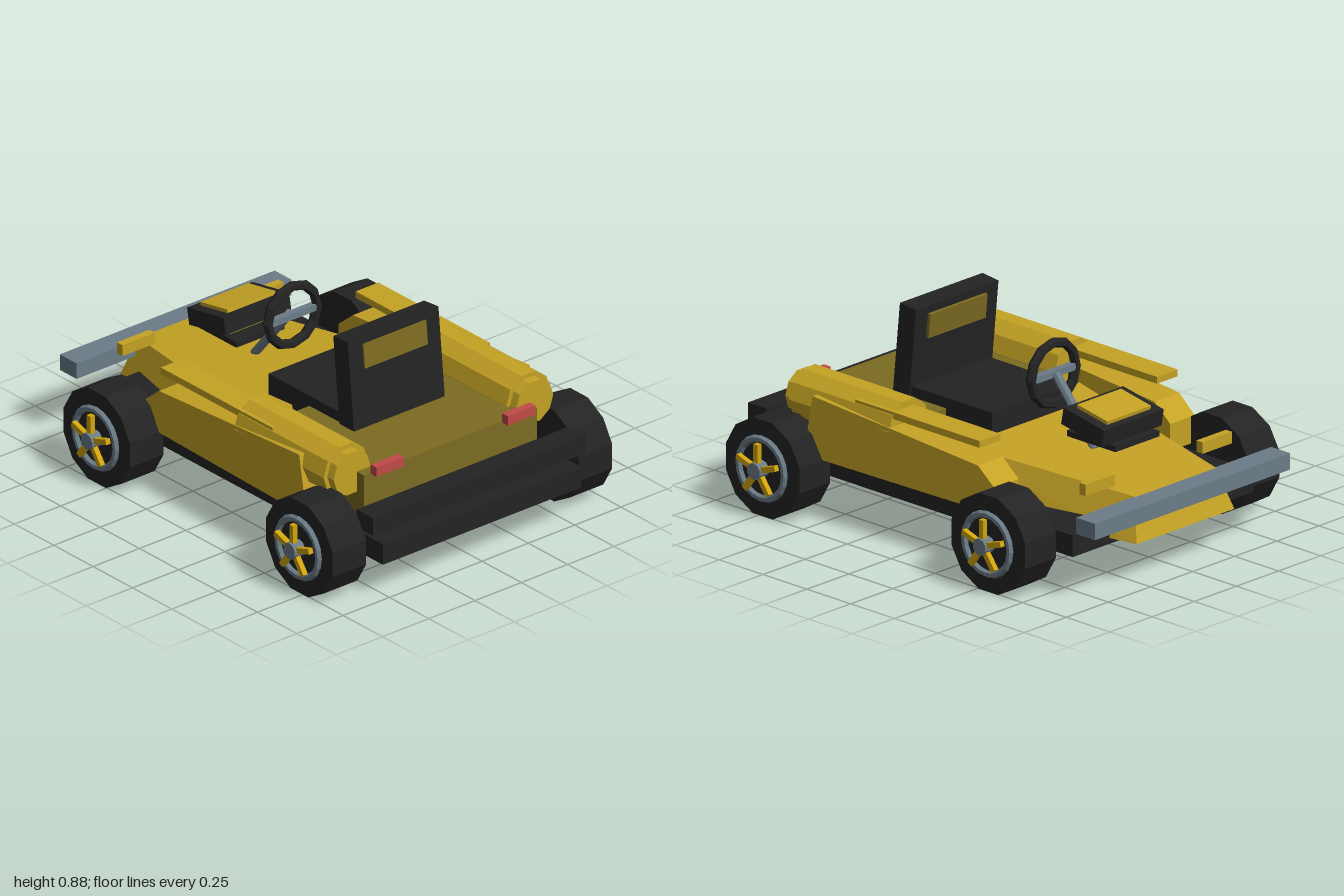
import * as THREE from 'three';
import { ConvexGeometry } from 'three/addons/geometries/ConvexGeometry.js';

const mat = (name, color) => Object.assign(new THREE.MeshStandardMaterial({ color, flatShading: true }), { name });

export function createModel() {
  const yellow = mat('yellow paint', 0xc4a224);
  const olive = mat('dark olive paint', 0x7c6b22);
  const black = mat('black', 0x232323);
  const steel = mat('blue grey steel', 0x6b7c87);
  const red = mat('tail light red', 0xc04b47);
  const gold = mat('spoke gold', 0xd0a40c);

  const kart = new THREE.Group();
  kart.name = 'kart';

  const add = (name, geometry, material, parent = kart) => {
    const mesh = new THREE.Mesh(geometry, material);
    mesh.name = name;
    parent.add(mesh);
    return mesh;
  };
  // Box given by its limits on each axis
  const box = (name, [x0, x1], [y0, y1], [z0, z1], material, parent) => {
    const mesh = add(name, new THREE.BoxGeometry(x1 - x0, y1 - y0, z1 - z0), material, parent);
    mesh.position.set((x0 + x1) / 2, (y0 + y1) / 2, (z0 + z1) / 2);
    return mesh;
  };
  // Cylinder lying along x
  const barX = (name, r, x0, x1, sides, material, parent) => {
    const g = new THREE.CylinderGeometry(r, r, x1 - x0, sides, 1, false, Math.PI / sides);
    g.rotateZ(-Math.PI / 2).translate((x0 + x1) / 2, 0, 0);
    return add(name, g, material, parent);
  };
  const hull = (name, points, material) =>
    add(name, new ConvexGeometry(points.map((p) => new THREE.Vector3(...p))), material);

  // Floor, bumpers and rear deck
  box('floorPan', [-0.535, 0.535], [0.165, 0.26], [-0.83, 1], black);
  box('rearBumper', [-0.575, 0.575], [0.305, 0.388], [0.88, 0.985], black);
  box('noseBumper', [-0.58, 0.58], [0.295, 0.367], [-1, -0.893], steel);
  box('rearDeck', [-0.468, 0.468], [0.285, 0.478], [0.18, 0.8], olive);

  // Tapered nose with sloping sides
  const nose = [];
  for (const s of [-1, 1]) {
    nose.push([s * 0.44, 0.44, 0.07], [s * 0.24, 0.37, -0.9]);
    nose.push([s * 0.52, 0.2, 0.125], [s * 0.29, 0.19, -0.96]);
  }
  hull('noseBody', nose, yellow);

  for (const s of [-1, 1]) {
    const side = s > 0 ? 'left' : 'right';
    const span = (a, b) => (s > 0 ? [a, b] : [-b, -a]);

    // Side panel: profile in z and y, widening slightly toward the rear
    const profile = [[0.62, 0.267], [0.57, 0.535], [-0.35, 0.46], [-0.44, 0.385], [-0.44, 0.267]];
    const panel = [];
    for (const [z, y] of profile) {
      const outer = 0.607 + z * 0.027;
      panel.push([s * 0.45, y, z], [s * outer, y, z]);
    }
    hull(side + 'SidePanel', panel, yellow);

    // Ten-sided pod with smaller rear cap
    const pod = (name, r, z0, z1) => {
      const g = new THREE.CylinderGeometry(r, r, z1 - z0, 10, 1, false, Math.PI / 10);
      g.rotateX(Math.PI / 2).translate(s * 0.493, 0.48, (z0 + z1) / 2);
      add(side + name, g, yellow);
    };
    pod('Pod', 0.12, 0.145, 0.715);
    pod('PodCap', 0.1, 0.7, 0.755);

    box(side + 'ArmRail', span(0.465, 0.588), [0.535, 0.565], [-0.35, 0.36], yellow);
    box(side + 'HeadLight', span(0.26, 0.435), [0.4, 0.45], [-0.808, -0.772], yellow);
    box(side + 'TailLight', span(0.28, 0.43), [0.472, 0.515], [0.798, 0.835], red);
  }

  // Seat with a backrest tipped slightly forward
  box('seatCushion', [-0.235, 0.235], [0.42, 0.525], [-0.08, 0.4], black);
  const back = new THREE.Group();
  back.name = 'seatBack';
  back.position.set(0, 0.665, 0.41);
  back.rotation.x = -0.1;
  kart.add(back);
  box('backrest', [-0.245, 0.245], [-0.21, 0.21], [-0.046, 0.046], black, back);
  box('backrestInsert', [-0.17, 0.17], [0.067, 0.175], [-0.06, 0.054], olive, back);

  // Steering wheel and column
  const wheelRim = add('steeringWheel', new THREE.TorusGeometry(0.133, 0.022, 6, 12), black);
  wheelRim.position.set(0, 0.67, -0.205);
  box('steeringSpoke', [-0.13, 0.13], [0.655, 0.685], [-0.22, -0.19], steel);
  const column = add('steeringColumn', new THREE.CylinderGeometry(0.02, 0.02, 0.35, 8), steel);
  column.position.set(0, 0.535, -0.333);
  column.rotation.x = Math.atan2(0.21, 0.255);

  // Tilted console on a flat plate
  box('consolePlate', [-0.13, 0.13], [0.48, 0.505], [-0.685, -0.408], black);
  const console3 = new THREE.Group();
  console3.name = 'console';
  console3.position.set(0, 0.565, -0.543);
  console3.rotation.x = -0.18;
  kart.add(console3);
  box('consoleCase', [-0.177, 0.177], [-0.038, 0.038], [-0.118, 0.118], black, console3);
  box('consoleInsert', [-0.13, 0.13], [-0.054, 0.054], [-0.087, 0.087], yellow, console3);

  // Axles and wheels
  for (const [end, z] of [['front', -0.56], ['rear', 0.728]]) {
    const axle = barX(end + 'Axle', 0.025, -0.78, 0.78, 8, steel);
    axle.position.set(0, 0.213, z);
    for (const s of [-1, 1]) {
      const wheel = new THREE.Group();
      wheel.name = end + (s > 0 ? 'Left' : 'Right') + 'Wheel';
      wheel.position.set(0, 0.213, z);
      wheel.rotation.y = s > 0 ? 0 : Math.PI;
      kart.add(wheel);
      barX('tyre', 0.218, 0.573, 0.755, 12, black, wheel);
      const ring = new THREE.TorusGeometry(0.13, 0.016, 6, 20);
      ring.rotateY(Math.PI / 2).translate(0.76, 0, 0);
      add('rimRing', ring, steel, wheel);
      barX('hub', 0.037, 0.75, 0.81, 10, steel, wheel);
      for (let i = 0; i < 5; i++) {
        const g = new THREE.BoxGeometry(0.024, 0.085, 0.024);
        g.translate(0.787, 0.073, 0).rotateX((i * Math.PI * 2) / 5);
        add('spoke', g, gold, wheel);
      }
    }
  }
  return kart;
}
